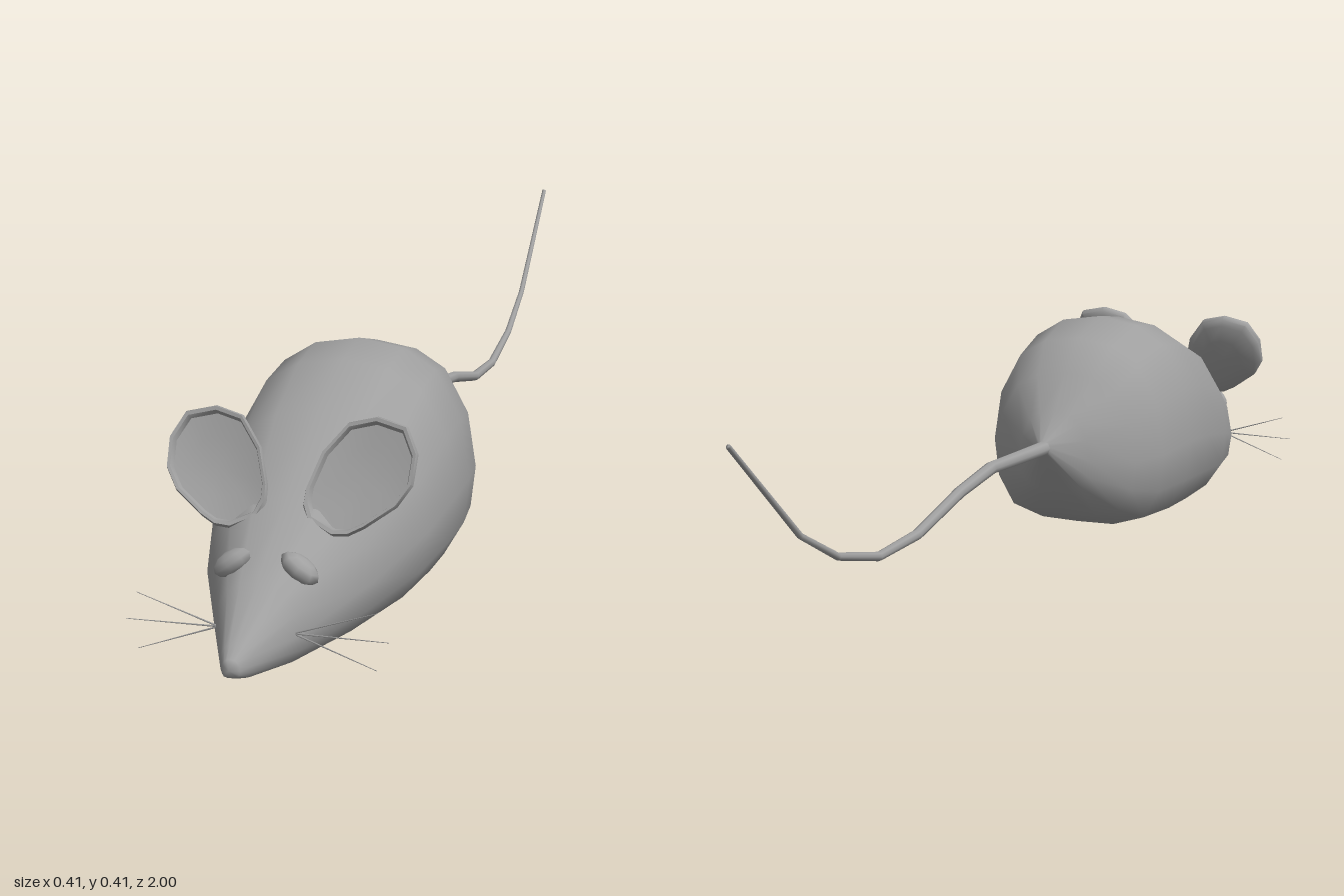
import * as THREE from 'three';
import { mergeVertices, toCreasedNormals } from 'three/addons/utils/BufferGeometryUtils.js';

const grey = new THREE.MeshStandardMaterial({ color: 0xa0a0a0 });
grey.name = 'grey';

// Skins closed rings of [x, y, z] points, ordered back to front, each counter-clockwise from the front
function loft(rings) {
  const n = rings[0].length, index = [];
  for (let i = 0; i < rings.length - 1; i++) {
    for (let j = 0; j < n; j++) {
      const k = (j + 1) % n;
      const a = i * n + j, b = i * n + k, c = b + n, d = a + n;
      index.push(a, b, c, a, c, d);
    }
  }
  const geo = new THREE.BufferGeometry();
  geo.setAttribute('position', new THREE.Float32BufferAttribute(rings.flat(2), 3));
  geo.setIndex(index);
  const merged = mergeVertices(geo, 1e-5);
  merged.computeVertexNormals();
  return merged;
}

function add(group, name, geo) {
  const mesh = new THREE.Mesh(geo, grey);
  mesh.name = name;
  group.add(mesh);
  return mesh;
}

// Body: one egg-shaped section, flat underneath, scaled along z
function bodyGeometry() {
  const half = [[0, 0], [0.42, 0.005], [0.77, 0.06], [0.95, 0.21], [1, 0.41],
    [0.92, 0.67], [0.69, 0.88], [0.4, 0.968], [0, 1]];
  const section = [...half, ...half.slice(1, -1).reverse().map(([x, y]) => [-x, y])];
  // z, bottom, top, half width
  const stations = [
    [0.085, 0.178, 0.178, 0], [0.09, 0.165, 0.19, 0.012], [0.14, 0.09, 0.235, 0.07],
    [0.19, 0.035, 0.3, 0.14], [0.25, 0.005, 0.355, 0.172], [0.35, 0, 0.38, 0.187],
    [0.44, 0, 0.365, 0.188], [0.57, 0, 0.31, 0.177], [0.73, 0, 0.215, 0.13],
    [0.87, 0, 0.125, 0.068], [0.965, 0.012, 0.062, 0.026], [0.99, 0.02, 0.048, 0.014],
    [1, 0.034, 0.034, 0],
  ];
  return loft(stations.map(([z, lo, hi, w]) =>
    section.map(([x, y]) => [x * w, lo + y * (hi - lo), z])));
}

// Tail: tapering tube through bends, tip first
function tailGeometry() {
  const path = [[-1, 0.403], [-0.8, 0.225], [-0.685, 0.165], [-0.55, 0.132], [-0.415, 0.136],
    [-0.255, 0.172], [-0.13, 0.188], [-0.01, 0.182], [0.13, 0.176]];
  const sides = 8, last = path.length - 1;
  const rings = path.map(([z, y], i) => {
    const p = path[Math.max(i - 1, 0)], q = path[Math.min(i + 1, last)];
    const slope = Math.atan2(q[1] - p[1], q[0] - p[0]);
    const r = 0.004 + 0.01 * i / last;
    return Array.from({ length: sides }, (_, j) => {
      const a = j / sides * Math.PI * 2, up = Math.sin(a) * r;
      return [Math.cos(a) * r, y + up * Math.cos(slope), z - up * Math.sin(slope)];
    });
  });
  const tip = Array.from({ length: sides }, () => [0, path[0][1], path[0][0]]);
  return loft([tip, ...rings]);
}

// Ear: leaning dish with a raised rim and a domed back
function earGeometry(side) {
  let outline = [[0.129, 0.336], [0.084, 0.325], [0.048, 0.282], [0.03, 0.23], [0.029, 0.207],
    [0.039, 0.186], [0.079, 0.168], [0.105, 0.17], [0.129, 0.182], [0.175, 0.214],
    [0.196, 0.245], [0.198, 0.288], [0.177, 0.325]];
  if (side < 0) outline = outline.map(([x, y]) => [-x, y]).reverse();
  const cx = side * 0.115, cy = 0.253;
  // scale of the outline, depth along the ear's facing
  const profile = [[0, -0.02], [0.5, -0.018], [0.85, -0.011], [0.97, -0.004], [1, 0.003],
    [0.97, 0.01], [0.91, 0.009], [0.87, 0], [0.5, -0.005], [0, -0.006]];
  const geo = loft(profile.map(([s, d]) => outline.map(([x, y]) => {
    const px = cx + (x - cx) * s, py = cy + (y - cy) * s;
    return [px, py + d * 0.45, 0.755 - (py - 0.17) * 0.5 + d * 0.89];
  })));
  return toCreasedNormals(geo, 0.8);
}

// Whisker: hair-thin cone between two points
function whiskerGeometry(from, to) {
  const dir = to.clone().sub(from);
  const geo = new THREE.CylinderGeometry(0.0005, 0.0015, dir.length(), 5);
  geo.applyQuaternion(new THREE.Quaternion().setFromUnitVectors(
    new THREE.Vector3(0, 1, 0), dir.clone().normalize()));
  const mid = from.clone().add(to).multiplyScalar(0.5);
  return geo.translate(mid.x, mid.y, mid.z);
}

export function createModel() {
  const mouse = new THREE.Group();
  mouse.name = 'mouse';
  add(mouse, 'body', bodyGeometry());
  add(mouse, 'tail', tailGeometry());

  for (const side of [1, -1]) {
    const label = side > 0 ? 'left' : 'right';
    add(mouse, label + 'Ear', earGeometry(side));

    // Almond eye bulging from the cheek
    const eye = add(mouse, label + 'Eye', new THREE.SphereGeometry(1, 8, 6));
    eye.scale.set(0.034, 0.018, 0.022);
    eye.rotation.z = -side * 0.62;
    eye.position.set(side * 0.053, 0.14, 0.831);

    // Three whiskers fanning out
    const whiskers = new THREE.Group();
    whiskers.name = label + 'Whiskers';
    for (const [x, y] of [[0.186, 0.098], [0.204, 0.055], [0.186, 0.01]]) {
      add(whiskers, 'whisker', whiskerGeometry(
        new THREE.Vector3(side * 0.058, 0.056, 0.88), new THREE.Vector3(side * x, y, 0.88)));
    }
    mouse.add(whiskers);
  }
  return mouse;
}
